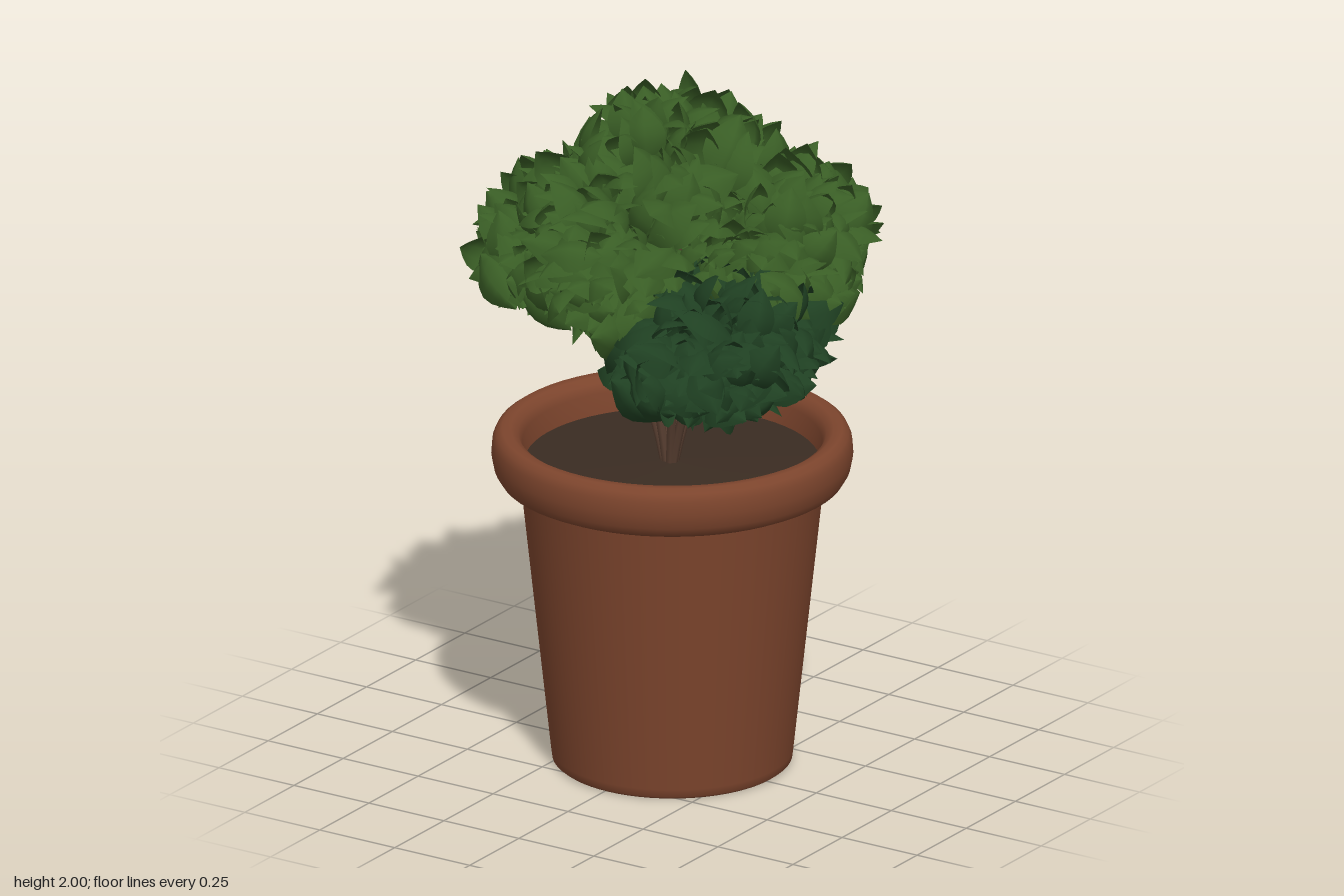
import * as THREE from 'three';
import { mergeGeometries } from 'three/addons/utils/BufferGeometryUtils.js';

const V = (x, y, z) => new THREE.Vector3(x, y, z);
const mat = (color, side = THREE.FrontSide) => new THREE.MeshStandardMaterial({ color, side });

// Seeded random numbers
let seed = 7;
const rnd = () => {
  seed = (seed * 16807) % 2147483647;
  return seed / 2147483647;
};
const range = (a, b) => a + (b - a) * rnd();

function addMesh(group, name, geometry, material) {
  const mesh = new THREE.Mesh(geometry, material);
  mesh.name = name;
  group.add(mesh);
}

const lathe = (points) =>
  new THREE.LatheGeometry(points.map(([r, y]) => new THREE.Vector2(r, y)), 64);

// Pointed oval leaf of unit length along +y, ridged towards +z and arched back
function leafGeometry() {
  const geo = new THREE.PlaneGeometry(2, 1, 4, 6);
  const p = geo.attributes.position;
  for (let i = 0; i < p.count; i++) {
    const v = p.getX(i), u = p.getY(i) + 0.5;
    const half = 0.35 * Math.max(0, Math.sin(Math.PI * Math.pow(u, 0.9)));
    p.setXYZ(i, v * half, u, 0.2 * Math.sin(Math.PI * u) - 0.6 * half * Math.pow(Math.abs(v), 1.5));
  }
  geo.computeVertexNormals();
  return geo;
}

// Leaf clumps: centre and radii of the envelope the leaf tips reach
const clumps = [
  { c: V(-0.02, 1.57, 0), r: V(0.38, 0.42, 0.5), n: 560 },
  { c: V(-0.27, 1.5, -0.03), r: V(0.3, 0.26, 0.44), n: 400 },
  { c: V(0.27, 1.53, -0.13), r: V(0.27, 0.3, 0.38), n: 380 },
  { c: V(0.29, 1.35, 0.12), r: V(0.28, 0.28, 0.38), n: 420, dark: true },
  { c: V(0.12, 1.28, 0.06), r: V(0.22, 0.22, 0.34), n: 260, dark: true },
];

const depthIn = (k, p) => p.clone().sub(k.c).divide(k.r).length();

// Scatter leaves over a clump, leaving out those buried in its neighbours
function clumpLeaves(clump, leaf) {
  const out = [];
  for (let i = 0; i < clump.n; i++) {
    const y = 1 - (2 * (i + 0.5)) / clump.n, a = i * 2.39996, s = Math.sqrt(1 - y * y);
    const unit = V(s * Math.cos(a), y < 0 ? y * 0.85 : y, s * Math.sin(a));
    const tip = unit.clone().multiply(clump.r).multiplyScalar(range(0.72, 1.06)).add(clump.c);
    if (clumps.some((k) => k !== clump && depthIn(k, tip) < 0.7)) continue;

    // Leaves point outwards and face the sky
    const radial = unit.clone().divide(clump.r).normalize();
    const jitter = V(range(-1, 1), range(-0.6, 1), range(-1, 1)).multiplyScalar(0.65);
    const dir = radial.clone().add(jitter).normalize();
    const face = radial.clone().add(V(range(-0.4, 0.4), 0.7, range(-0.4, 0.4)));
    face.addScaledVector(dir, -face.dot(dir)).normalize();
    const side = dir.clone().cross(face);

    const length = range(0.15, 0.21);
    const m = new THREE.Matrix4().makeBasis(side, dir, face);
    m.scale(V(length * range(0.85, 1.1), length, length));
    m.setPosition(tip.addScaledVector(dir, -length));
    out.push(leaf.clone().applyMatrix4(m));
  }
  return out;
}

export function createModel() {
  seed = 7;
  const model = new THREE.Group();
  model.name = 'pottedShrub';
  const terracotta = mat(0x7d452d);

  // Pot, standing slightly off the foliage centre
  const pot = new THREE.Group();
  pot.name = 'pot';
  pot.position.set(0.01, 0, -0.015);
  model.add(pot);
  addMesh(pot, 'potBody', lathe([[0, 0], [0.325, 0], [0.335, 0.008], [0.338, 0.03], [0.425, 0.84]]), terracotta);
  addMesh(pot, 'potRim', lathe([
    [0.4, 0.825], [0.455, 0.832], [0.482, 0.845], [0.497, 0.87], [0.505, 0.91],
    [0.502, 0.95], [0.492, 0.972], [0.475, 0.984], [0.45, 0.983], [0.43, 0.97],
    [0.418, 0.945], [0.41, 0.87],
  ]), terracotta);

  // Soil disc, slightly mounded
  addMesh(pot, 'soil', lathe([[0.412, 0.885], [0.25, 0.89], [0, 0.893]]), mat(0x3a2c22));

  // Stems rising close together from the soil into the clumps
  const stems = [];
  const ends = [
    [-0.2, 1.5, 0.05], [-0.14, 1.5, -0.14], [-0.07, 1.6, 0.12], [0.02, 1.7, -0.04], [0.04, 1.5, -0.18],
    [0.2, 1.5, -0.08], [0.24, 1.4, 0.1], [0.15, 1.4, 0.18], [-0.1, 1.45, -0.02],
  ];
  for (const [x, y, z] of ends) {
    const curve = new THREE.QuadraticBezierCurve3(
      V(0.01 + x * 0.05, 0.87, z * 0.05), V(0.01 + x * 0.25, 1.1, z * 0.25), V(x, y, z));
    stems.push(new THREE.TubeGeometry(curve, 8, 0.013, 6));
  }
  addMesh(model, 'stems', mergeGeometries(stems), mat(0x5a4032));

  // Foliage in two greens
  const leaf = leafGeometry();
  const leaves = { light: [], dark: [] };
  for (const clump of clumps) leaves[clump.dark ? 'dark' : 'light'].push(...clumpLeaves(clump, leaf));
  addMesh(model, 'lightLeaves', mergeGeometries(leaves.light), mat(0x395d25, THREE.DoubleSide));
  addMesh(model, 'darkLeaves', mergeGeometries(leaves.dark), mat(0x1f4022, THREE.DoubleSide));

  return model;
}
